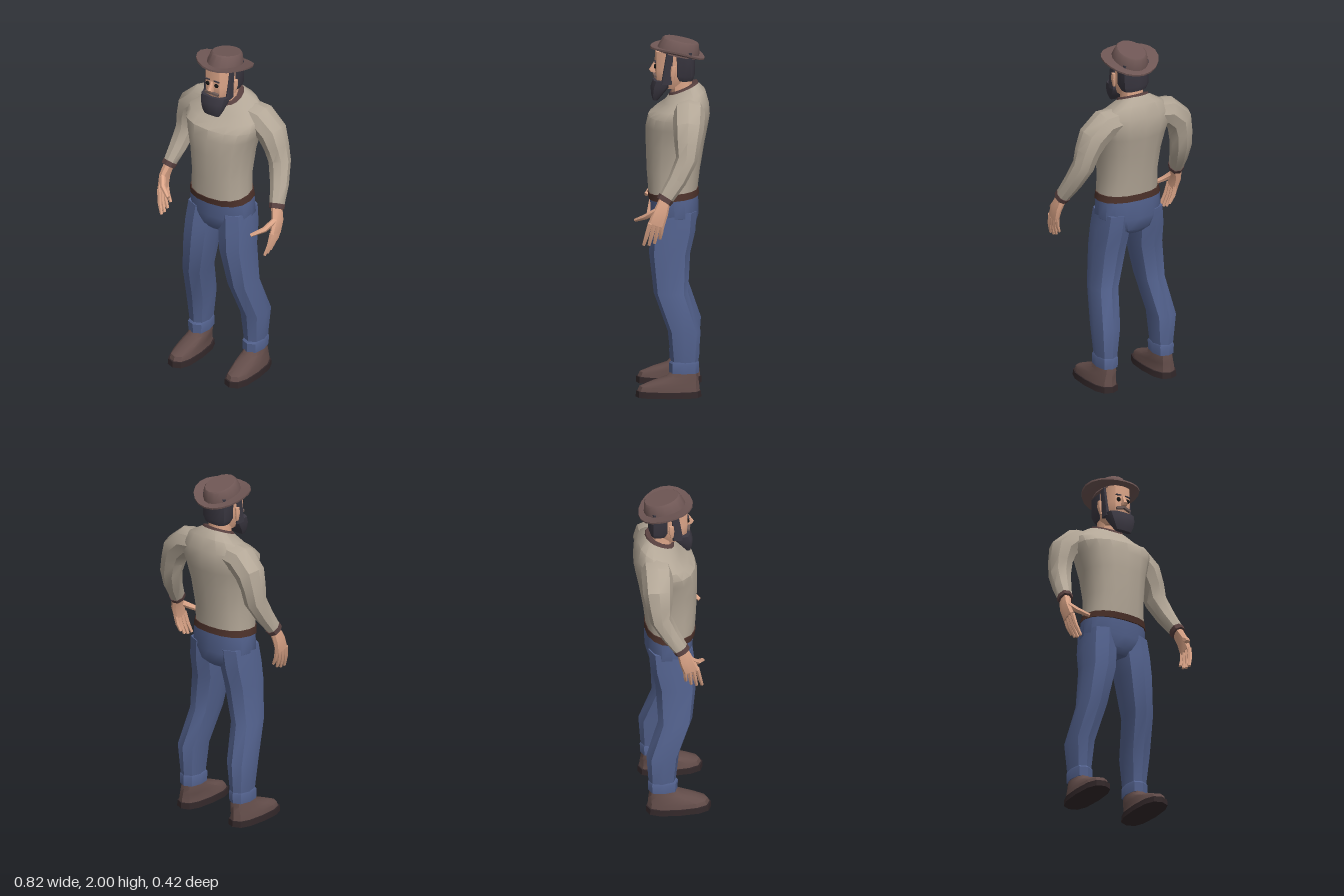
import * as THREE from 'three';
import { toCreasedNormals } from 'three/addons/utils/BufferGeometryUtils.js';

const mat = (color) => new THREE.MeshStandardMaterial({ color });
const M = {
  shirt: mat(0xb3a797), jeans: mat(0x53628e), skin: mat(0xdca588), hair: mat(0x3b3842),
  hat: mat(0x6f5755), trim: mat(0x5a4241), belt: mat(0x4a3029), shoe: mat(0x634d4a),
  sole: mat(0x33282a), eye: mat(0x151515), moustache: mat(0x6e5c58),
};

// Skin a list of rings (arrays of points) and close both ends
function loft(rings, crease = 0.65) {
  const n = rings[0].length, pos = [], idx = [];
  rings.forEach((r) => r.forEach((p) => pos.push(p.x, p.y, p.z)));
  for (let i = 0; i < rings.length - 1; i++) {
    for (let j = 0; j < n; j++) {
      const a = i * n + j, b = i * n + (j + 1) % n;
      idx.push(a, a + n, b, b, a + n, b + n);
    }
  }
  [0, rings.length - 1].forEach((i) => {
    const c = new THREE.Vector3();
    rings[i].forEach((p) => c.addScaledVector(p, 1 / n));
    const k = pos.length / 3;
    pos.push(c.x, c.y, c.z);
    for (let j = 0; j < n; j++) {
      const a = i * n + j, b = i * n + (j + 1) % n;
      if (i === 0) idx.push(k, a, b); else idx.push(k, b, a);
    }
  });
  const g = new THREE.BufferGeometry();
  g.setAttribute('position', new THREE.Float32BufferAttribute(pos, 3));
  g.setIndex(idx);
  return toCreasedNormals(g, crease);
}

const pw = (v, p) => Math.sign(v) * Math.abs(v) ** p;

// Level rings from bottom to top: [centre x, y, front z, back z, half width, tilt]
function stack(rows, n = 12, p = 0.85) {
  return loft(rows.map(([cx, y, zf, zb, hx, tilt = 0]) => Array.from({ length: n }, (_, j) => {
    const a = j / n * Math.PI * 2;
    const dz = pw(Math.sin(a), p) * (zf - zb) / 2;
    return new THREE.Vector3(cx + pw(Math.cos(a), p) * hx, y + dz * tilt, (zf + zb) / 2 + dz);
  })));
}

// Rings square to a path: [x, y, z, side radius, depth radius]
function limb(rows, n = 8, p = 0.9) {
  const pts = rows.map((r) => new THREE.Vector3(r[0], r[1], r[2]));
  return loft(rows.map((r, i) => {
    const t = pts[Math.min(i + 1, pts.length - 1)].clone().sub(pts[Math.max(i - 1, 0)]).normalize();
    const v = new THREE.Vector3(0, 0, 1).addScaledVector(t, -t.z).normalize();
    const u = t.clone().cross(v);
    return Array.from({ length: n }, (_, j) => {
      const a = j / n * Math.PI * 2;
      return pts[i].clone().addScaledVector(u, pw(Math.cos(a), p) * r[3]).addScaledVector(v, pw(Math.sin(a), p) * r[4]);
    });
  }));
}

function add(parent, name, geo, material, x = 0, y = 0, z = 0) {
  const m = new THREE.Mesh(geo, material);
  m.name = name;
  m.position.set(x, y, z);
  parent.add(m);
  return m;
}

function group(parent, name) {
  const g = new THREE.Group();
  g.name = name;
  parent.add(g);
  return g;
}

// Sleeve, wrist band, palm, fingers and thumb
function makeArm(parent, name, sleeve, knuckle, tip, thumb) {
  const g = group(parent, name);
  add(g, 'sleeve', limb(sleeve, 8), M.shirt);
  const [ex, ey, ez] = sleeve[sleeve.length - 1];
  const [px, py, pz] = sleeve[sleeve.length - 2];
  const d = new THREE.Vector3(ex - px, ey - py, ez - pz).normalize();
  const at = (k) => [ex + d.x * k, ey + d.y * k, ez + d.z * k];
  add(g, 'wristBand', limb([[...at(-0.012), 0.042, 0.047], [...at(0.016), 0.04, 0.044]], 8), M.trim);
  const [kx, ky, kz] = knuckle;
  const mid = [(ex + kx) / 2 + Math.sign(ex) * 0.01, (ey + ky) / 2, (ez + kz) / 2];
  add(g, 'palm', limb([[...at(0.005), 0.026, 0.032], [...mid, 0.022, 0.042], [kx, ky, kz, 0.016, 0.046]], 8, 0.75), M.skin);
  for (let f = 0; f < 4; f++) {
    const o = f - 1.5, drop = f === 0 ? 0.035 : f === 1 ? 0.01 : 0;
    const sz = kz + o * 0.023, tz = tip[2] + o * 0.03;
    add(g, 'finger', limb([
      [kx, ky + 0.01, sz, 0.014, 0.013],
      [(kx + tip[0]) / 2 + Math.sign(kx) * 0.005, (ky + tip[1] + drop) / 2, (sz + tz) / 2, 0.012, 0.013],
      [tip[0], tip[1] + drop, tz, 0.008, 0.009]], 6), M.skin);
  }
  add(g, 'thumb', limb([
    [mid[0], mid[1] + 0.01, mid[2] + 0.02, 0.018, 0.018],
    [(mid[0] + thumb[0]) / 2 + Math.sign(kx) * 0.015, (mid[1] + thumb[1]) / 2, (mid[2] + thumb[2]) / 2 + 0.015, 0.016, 0.016],
    [...thumb, 0.01, 0.011]], 6), M.skin);
}

export function createModel() {
  const root = new THREE.Group();
  root.name = 'figure';
  const body = group(root, 'body');
  body.position.x = -0.03;

  // Shirt, collar and belt
  add(body, 'torso', stack([
    [0, 1.12, 0.13, -0.14, 0.175], [0, 1.25, 0.14, -0.155, 0.17], [0, 1.4, 0.145, -0.18, 0.185],
    [0, 1.5, 0.145, -0.2, 0.21], [0, 1.56, 0.132, -0.21, 0.23], [0, 1.61, 0.09, -0.205, 0.225, -0.1],
    [0, 1.662, 0.045, -0.185, 0.17, -0.3], [0, 1.705, 0.015, -0.145, 0.092, -0.42]], 16), M.shirt);
  add(body, 'collar', stack([[0, 1.697, 0.02, -0.148, 0.092, -0.43], [0, 1.716, 0.012, -0.142, 0.082, -0.43]], 16), M.trim);
  add(body, 'belt', stack([[0, 1.1, 0.13, -0.15, 0.189, -0.08], [0, 1.136, 0.135, -0.147, 0.181, -0.08]], 16), M.belt);

  // Hips and legs
  add(body, 'hips', stack([
    [0, 0.9, 0.075, -0.1, 0.09], [0, 0.93, 0.1, -0.13, 0.15], [0, 1.0, 0.117, -0.148, 0.193],
    [0, 1.11, 0.122, -0.145, 0.186]], 16), M.jeans);
  for (const s of [1, -1]) {
    const leg = group(body, s > 0 ? 'leftLeg' : 'rightLeg');
    add(leg, 'trouserLeg', stack([
      [s * 0.183, 0.17, 0.002, -0.146, 0.052], [s * 0.183, 0.37, 0.022, -0.16, 0.073],
      [s * 0.152, 0.58, 0.1, -0.09, 0.076], [s * 0.12, 0.8, 0.126, -0.102, 0.09],
      [s * 0.111, 0.92, 0.12, -0.13, 0.092], [s * 0.1, 1.03, 0.108, -0.138, 0.09]], 8, 0.8), M.jeans);
    add(leg, 'trouserCuff', stack([
      [s * 0.183, 0.135, 0.014, -0.15, 0.056], [s * 0.183, 0.19, 0.016, -0.152, 0.058],
      [s * 0.183, 0.2, 0.008, -0.147, 0.054]], 8, 0.75), M.jeans);
    add(leg, 'sole', stack([[s * 0.191, 0, 0.2, -0.164, 0.076], [s * 0.191, 0.034, 0.198, -0.162, 0.074]], 12, 0.75), M.sole);
    add(leg, 'shoe', stack([
      [s * 0.191, 0.034, 0.19, -0.156, 0.067], [s * 0.191, 0.06, 0.18, -0.153, 0.064],
      [s * 0.188, 0.085, 0.12, -0.15, 0.06], [s * 0.184, 0.115, 0.03, -0.146, 0.055],
      [s * 0.183, 0.15, 0.0, -0.14, 0.048]], 12, 0.8), M.shoe);
  }

  // Arms, each in its own pose
  makeArm(root, 'leftArm', [
    [0.05, 1.61, -0.1, 0.07, 0.08], [0.17, 1.597, -0.095, 0.08, 0.09], [0.247, 1.53, -0.093, 0.08, 0.085],
    [0.282, 1.45, -0.087, 0.066, 0.072], [0.305, 1.37, -0.083, 0.061, 0.06],
    [0.34, 1.26, -0.03, 0.05, 0.052], [0.367, 1.16, 0.035, 0.038, 0.042]],
  [0.392, 1.02, 0.085], [0.368, 0.902, 0.11], [0.305, 1.03, 0.2]);
  makeArm(root, 'rightArm', [
    [-0.11, 1.61, -0.1, 0.07, 0.08], [-0.23, 1.594, -0.1, 0.08, 0.088], [-0.3, 1.53, -0.105, 0.078, 0.084],
    [-0.32, 1.45, -0.1, 0.064, 0.072], [-0.328, 1.37, -0.092, 0.06, 0.062],
    [-0.348, 1.27, -0.04, 0.05, 0.052], [-0.367, 1.18, 0.018, 0.037, 0.042]],
  [-0.376, 1.04, 0.07], [-0.34, 0.915, 0.09], [-0.288, 1.045, 0.145]);

  // Head, hair and beard
  const head = group(body, 'head');
  add(head, 'neck', stack([[0, 1.64, 0.0, -0.12, 0.064], [0, 1.78, 0.01, -0.11, 0.06]], 10), M.skin);
  add(head, 'face', stack([
    [0, 1.71, 0.06, -0.06, 0.05], [0, 1.76, 0.092, -0.09, 0.072], [0, 1.82, 0.096, -0.11, 0.078],
    [0, 1.92, 0.094, -0.11, 0.078]], 12, 0.75), M.skin);
  add(head, 'hair', stack([
    [0, 1.755, -0.025, -0.118, 0.07], [0, 1.785, -0.012, -0.128, 0.085], [0, 1.92, -0.005, -0.128, 0.087]], 12, 0.65), M.hair);
  add(head, 'beard', stack([
    [0, 1.645, 0.107, 0.075, 0.05], [0, 1.675, 0.116, 0.05, 0.065], [0, 1.72, 0.118, 0.012, 0.078],
    [0, 1.758, 0.104, 0.0, 0.083]], 12, 0.65), M.hair);
  for (const s of [1, -1]) {
    add(head, 'sideburn', stack([
      [s * 0.074, 1.74, 0.06, 0.0, 0.012], [s * 0.075, 1.79, 0.052, 0.0, 0.011], [s * 0.077, 1.92, 0.03, -0.01, 0.01]], 8, 0.6), M.hair);
    add(head, 'ear', stack([
      [s * 0.084, 1.765, 0.004, -0.012, 0.006], [s * 0.09, 1.81, 0.008, -0.024, 0.011],
      [s * 0.09, 1.845, 0.004, -0.022, 0.009]], 8), M.skin);
    const eye = add(head, 'eye', new THREE.SphereGeometry(0.013, 12, 8), M.eye, s * 0.029, 1.835, 0.092);
    eye.scale.z = 0.6;
    const brow = add(head, 'eyebrow', new THREE.BoxGeometry(0.034, 0.006, 0.008), M.hair, s * 0.031, 1.862, 0.092);
    brow.rotation.z = s * -0.1;
    const half = add(head, 'moustache', new THREE.BoxGeometry(0.046, 0.013, 0.016), M.moustache, s * 0.021, 1.783, 0.096);
    half.rotation.z = s * -0.2;
    half.rotation.y = s * 0.2;
  }
  add(head, 'nose', stack([
    [0, 1.797, 0.118, 0.08, 0.015], [0, 1.81, 0.128, 0.08, 0.016], [0, 1.855, 0.1, 0.08, 0.008]], 8), M.skin);

  // Hat: an oval crown on a brim that curls up at the sides, tipped back
  const hat = group(body, 'hat');
  hat.position.set(0, 1.91, -0.033);
  hat.rotation.x = -0.22;
  const brim = stack([
    [0, -0.012, 0.11, -0.11, 0.09], [0, -0.008, 0.157, -0.152, 0.164],
    [0, 0.002, 0.157, -0.152, 0.165], [0, 0.006, 0.12, -0.12, 0.1]], 20, 1);
  const bp = brim.attributes.position;
  for (let i = 0; i < bp.count; i++) bp.setY(i, bp.getY(i) + 0.028 * (bp.getX(i) / 0.165) ** 2);
  add(hat, 'brim', toCreasedNormals(brim, 0.65), M.hat);
  add(hat, 'crown', stack([
    [0, -0.01, 0.12, -0.12, 0.098], [0, 0.018, 0.115, -0.118, 0.096], [0, 0.066, 0.1, -0.106, 0.082],
    [0, 0.073, 0.092, -0.1, 0.074]], 16, 1), M.hat);
  return root;
}
